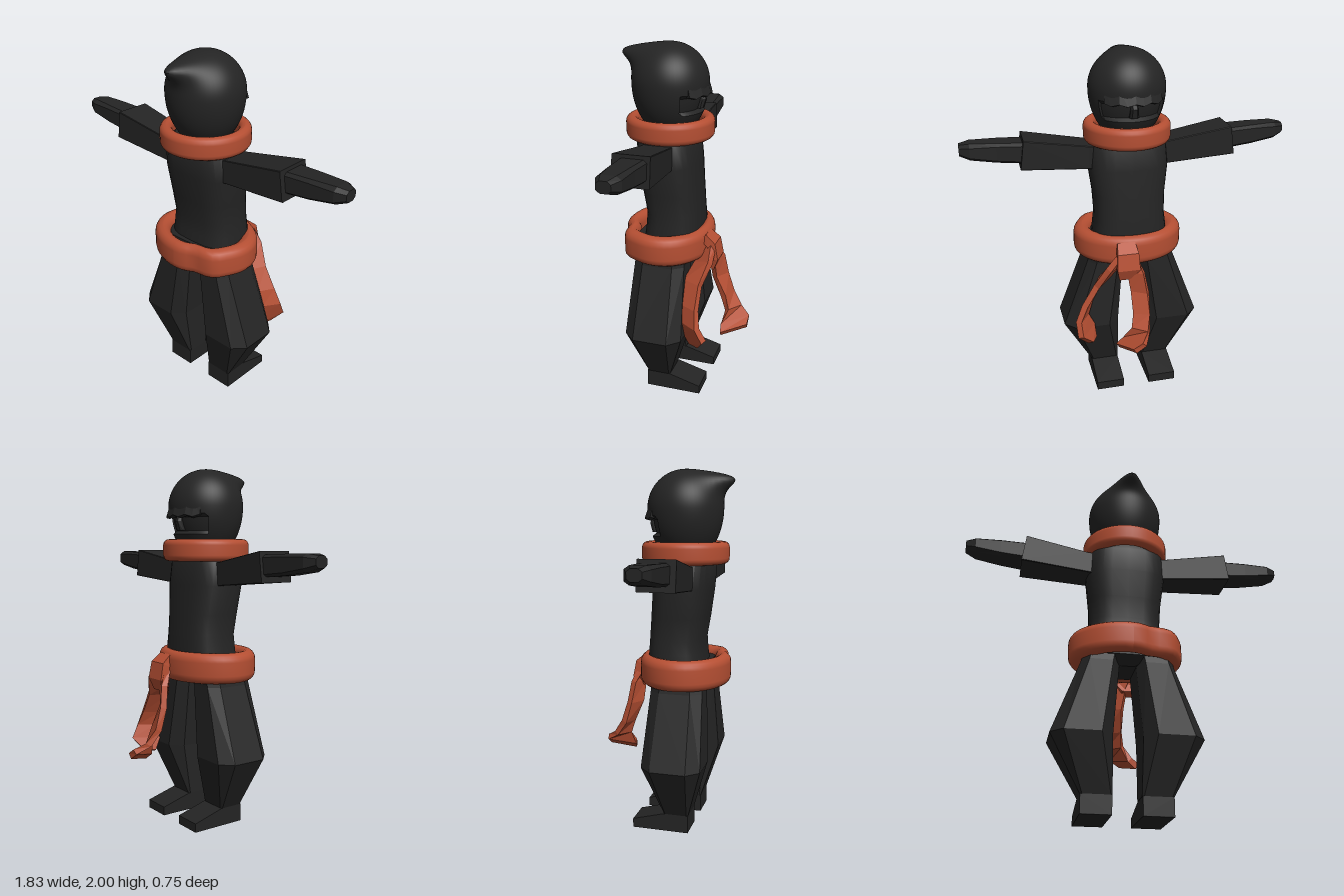
import * as THREE from 'three';
import { toCreasedNormals } from 'three/addons/utils/BufferGeometryUtils.js';

const V = (x, y, z) => new THREE.Vector3(x, y, z);
const cloth = new THREE.MeshStandardMaterial({ color: 0x242424 });
const clothFlat = new THREE.MeshStandardMaterial({ color: 0x242424, flatShading: true });
const sash = new THREE.MeshStandardMaterial({ color: 0xb54f33 });
const sashFlat = new THREE.MeshStandardMaterial({ color: 0xb54f33, flatShading: true });

// Skin a list of equal-sized rings and close both ends, always facing outwards
function loft(rings) {
  const tris = [];
  const n = rings[0].length;
  for (let i = 0; i < rings.length - 1; i++) {
    for (let j = 0; j < n; j++) {
      const k = (j + 1) % n;
      const [a, b, c, d] = [rings[i][j], rings[i][k], rings[i + 1][k], rings[i + 1][j]];
      tris.push([a, b, c], [a, c, d]);
    }
  }
  const first = rings[0], last = rings[rings.length - 1];
  for (let j = 1; j < n - 1; j++) {
    tris.push([first[0], first[j + 1], first[j]], [last[0], last[j], last[j + 1]]);
  }
  const origin = first[0];
  let volume = 0;
  for (const [a, b, c] of tris) {
    volume += a.clone().sub(origin).dot(b.clone().sub(origin).cross(c.clone().sub(origin)));
  }
  const points = tris.flatMap(([a, b, c]) => (volume > 0 ? [a, b, c] : [a, c, b]));
  const geometry = new THREE.BufferGeometry().setFromPoints(points);
  geometry.computeVertexNormals();
  return geometry;
}

// Rectangle a0..a1 by b0..b1 with cut corners, as pairs
function cutRect(a0, a1, b0, b1, cut) {
  const p = (a1 - a0) * cut, q = (b1 - b0) * cut;
  return [[a0 + p, b0], [a1 - p, b0], [a1, b0 + q], [a1, b1 - q],
    [a1 - p, b1], [a0 + p, b1], [a0, b1 - q], [a0, b0 + q]];
}
const level = (y, x0, x1, z0, z1, cut) => cutRect(x0, x1, z0, z1, cut).map(([x, z]) => V(x, y, z));
const slice = (x, y0, y1, z0, z1, cut, lean = 0) =>
  cutRect(y0, y1, z0, z1, cut).map(([y, z]) => V(x - lean * (y - y0) / (y1 - y0), y, z));

// Ribbon of cloth; each step holds a centre and a half-width vector
function ribbon(steps, thickness) {
  const centres = steps.map(([c]) => V(...c));
  return loft(steps.map(([, w], i) => {
    const c = centres[i], wide = V(...w);
    const along = centres[Math.min(i + 1, steps.length - 1)].clone().sub(centres[Math.max(i - 1, 0)]);
    const out = wide.clone().cross(along).normalize().multiplyScalar(thickness / 2);
    return [[1, 1], [1, -1], [-1, -1], [-1, 1]].map(([s, t]) =>
      c.clone().addScaledVector(wide, s).addScaledVector(out, t));
  }));
}

// Rounded band turned around the y axis
function band(inner, outer, y0, y1, round) {
  const shape = [];
  const corners = [[outer - round, y0 + round, -90], [outer - round, y1 - round, 0],
    [inner + round, y1 - round, 90], [inner + round, y0 + round, 180]];
  for (const [r, y, start] of corners) {
    for (let i = 0; i <= 4; i++) {
      const a = THREE.MathUtils.degToRad(start + i * 22.5);
      shape.push(new THREE.Vector2(r + round * Math.cos(a), y + round * Math.sin(a)));
    }
  }
  shape.push(shape[0].clone());
  return new THREE.LatheGeometry(shape, 48);
}

// Hood: ball with a full lower half, a swept peak behind and a recessed eye slot
function hoodGeometry() {
  const geometry = new THREE.SphereGeometry(1, 56, 48);
  const pos = geometry.attributes.position;
  const peak = V(0, 0.76, 0.65);
  for (let i = 0; i < pos.count; i++) {
    const n = V(pos.getX(i), pos.getY(i), pos.getZ(i));
    const bump = 0.13 * Math.exp(-n.distanceToSquared(peak) / 0.14);
    const y = 1.79 + n.y * (n.y > 0 ? 0.21 : 0.3);
    const slot = n.z < -0.55 && y > 1.655 && y < 1.75 ? 0.03 : 0;
    pos.setXYZ(i, n.x * 0.213, y, 0.12 + n.z * 0.21 + bump + slot);
  }
  return toCreasedNormals(geometry, 0.6);
}

export function createModel() {
  const model = new THREE.Group();
  const add = (name, geometry, material, parent = model) => {
    const mesh = new THREE.Mesh(geometry, material);
    mesh.name = name;
    parent.add(mesh);
    return mesh;
  };

  // Head
  const head = new THREE.Group();
  head.name = 'head';
  model.add(head);
  add('hood', hoodGeometry(), cloth, head);
  const brow = [];
  for (let i = -4; i <= 4; i++) {
    const a = i * 0.2;
    brow.push([[0.205 * Math.sin(a), 1.775 - 0.012 * Math.abs(i % 2), 0.125 - 0.205 * Math.cos(a)],
      [0.006 * Math.sin(a), -0.035, -0.012 * Math.cos(a)]]);
  }
  add('hoodBrow', ribbon(brow, 0.025), clothFlat, head);
  add('nose', loft([level(1.66, -0.025, 0.025, -0.065, 0, 0.2),
    level(1.71, -0.02, 0.02, -0.08, 0, 0.2), level(1.75, -0.015, 0.015, -0.065, 0, 0.2)]), clothFlat, head);

  // Torso: rounded sections of height, half width, front and back
  const sections = [[0.86, 0.22, -0.07, 0.26], [1.0, 0.21, -0.067, 0.24], [1.08, 0.2, -0.062, 0.235],
    [1.2, 0.205, -0.054, 0.255], [1.36, 0.225, -0.042, 0.275], [1.49, 0.215, -0.03, 0.285], [1.56, 0.16, 0, 0.25]];
  const torso = loft(sections.map(([y, w, z0, z1]) => {
    const ring = [];
    for (let i = 0; i < 24; i++) {
      const a = i * Math.PI / 12, c = Math.cos(a), s = Math.sin(a);
      ring.push(V(w * Math.sign(c) * Math.abs(c) ** 0.62, y,
        (z0 + z1) / 2 + (z1 - z0) / 2 * Math.sign(s) * Math.abs(s) ** 0.75));
    }
    return ring;
  }));
  add('torso', toCreasedNormals(torso, 0.7), cloth);
  add('pelvis', loft([level(0.79, -0.06, 0.06, 0.03, 0.22, 0.2),
    level(0.84, -0.23, 0.23, -0.04, 0.27, 0.2), level(0.95, -0.23, 0.23, -0.06, 0.27, 0.2)]), clothFlat);

  // Limbs, built once per side
  for (const side of [1, -1]) {
    const label = side > 0 ? 'left' : 'right';
    const put = (name, rings) =>
      add(label + name, loft(rings.map((ring) => ring.map((p) => V(p.x * side, p.y, p.z)))), clothFlat);
    put('Sleeve', [slice(0.12, 1.35, 1.48, 0.05, 0.21, 0.02),
      slice(0.23, 1.36, 1.49, 0.045, 0.21, 0.02), slice(0.602, 1.39, 1.55, 0.025, 0.225, 0.02, 0.022)]);
    put('Hand', [slice(0.55, 1.415, 1.53, 0.04, 0.195, 0.12), slice(0.72, 1.43, 1.537, 0.05, 0.19, 0.14),
      slice(0.86, 1.45, 1.54, 0.055, 0.185, 0.2), slice(0.915, 1.47, 1.53, 0.085, 0.16, 0.25)]);
    put('Trouser', [level(0.9, 0.03, 0.23, -0.02, 0.26, 0.2), level(0.8, 0.045, 0.255, -0.02, 0.27, 0.2),
      level(0.4, 0.08, 0.405, -0.04, 0.29, 0.2), level(0.1, 0.075, 0.24, 0.06, 0.2, 0.06)]);
    put('Foot', [[[0.2, 0], [0.2, 0.1], [0.06, 0.1], [-0.12, 0.05], [-0.12, 0]].map(([z, y]) => V(0.078, y, z)),
      [[0.2, 0], [0.2, 0.1], [0.06, 0.1], [-0.12, 0.05], [-0.12, 0]].map(([z, y]) => V(0.24, y, z))]);
  }

  // Scarf
  add('scarf', band(0.175, 0.243, 1.49, 1.612, 0.033), sash).position.z = 0.122;

  // Waist sash: oval band with a soft dent between two folds
  const waist = band(0.215, 0.315, 0.82, 0.99, 0.048);
  const pos = waist.attributes.position;
  for (let i = 0; i < pos.count; i++) {
    const x = pos.getX(i), z = pos.getZ(i);
    const a = Math.atan2(x, z);
    const k = 1 - 0.08 * Math.exp(-(((a - 0.4) / 0.2) ** 2)) + 0.05 * Math.exp(-(((a - 0.8) / 0.2) ** 2));
    pos.setX(i, x * k);
    pos.setZ(i, z * k * 0.81 + 0.13);
  }
  waist.computeVertexNormals();
  add('waistSash', waist, sash);

  // Knot and the two hanging ends
  add('sashKnot', ribbon([[[0.06, 0.95, -0.1], [0.05, 0, 0]], [[0.06, 0.91, -0.15], [0.06, 0, 0]],
    [[0.06, 0.83, -0.165], [0.065, 0, 0]], [[0.07, 0.77, -0.14], [0.04, 0, 0]]], 0.05), sashFlat);
  add('innerSashEnd', ribbon([[[0.05, 0.9, -0.13], [0.04, 0, 0]], [[0.015, 0.8, -0.16], [0.042, 0, 0.02]],
    [[-0.005, 0.68, -0.175], [0.042, 0, 0.025]], [[-0.005, 0.56, -0.22], [0.045, 0, 0.015]],
    [[0.01, 0.48, -0.26], [0.04, 0, 0.03]], [[0.05, 0.42, -0.28], [0.04, -0.02, 0.075]],
    [[0.1, 0.385, -0.285], [0.035, -0.02, 0.07]]], 0.035), sashFlat);
  add('outerSashEnd', ribbon([[[0.08, 0.89, -0.13], [0.02, 0.03, -0.03]], [[0.14, 0.81, -0.11], [0.03, 0.02, -0.05]],
    [[0.21, 0.71, -0.07], [0.025, 0, -0.05]], [[0.28, 0.59, -0.075], [0.025, 0, -0.045]],
    [[0.315, 0.5, -0.09], [0.03, 0, -0.045]], [[0.295, 0.42, -0.105], [-0.045, 0.015, -0.07]],
    [[0.26, 0.35, -0.1], [-0.015, 0.01, -0.03]]].map(([c, w], i) => [c, i === 5 ? [0.045, 0, -0.07] : i === 6 ? [0.015, 0, -0.03] : w]),
  0.035), sashFlat);

  return model;
}
